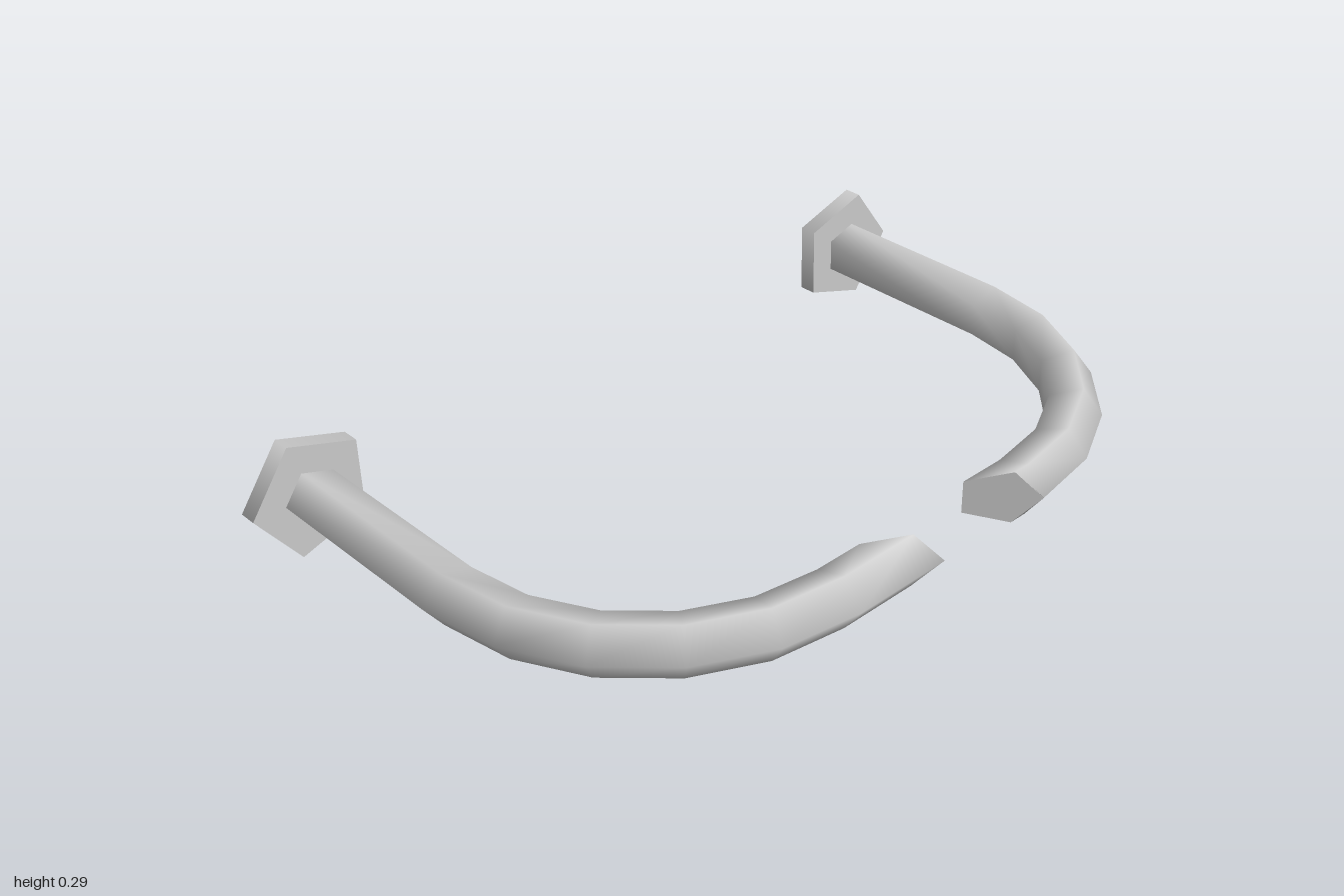
import * as THREE from 'three';

const SIDES = 5, BAR_R = 0.07, FLANGE_R = 0.152;
const BEND_R = 0.555, BEND_X = 0.29, BEND_Z = -0.04, BEND_STEPS = 5;
const Y = 0.1446, BACK_Z = -0.585, FLANGE_T = 0.045;

const material = new THREE.MeshStandardMaterial({ color: 0xcccccc, side: THREE.DoubleSide });

function mesh(name, geometry) {
  const m = new THREE.Mesh(geometry, material);
  m.name = name;
  return m;
}

// Cross-sections of the bar: straight shank, quarter bend, slanted cut.
// cutX and slant place the cut; d is the distance outward from the centre line.
function barRings(side, cutX, slant) {
  const sections = [d => [BEND_X + BEND_R + d, BACK_Z]];
  for (let k = 0; k <= BEND_STEPS; k++) {
    const t = (k / BEND_STEPS) * Math.PI / 2;
    sections.push(d => [
      BEND_X + (BEND_R + d) * Math.cos(t),
      BEND_Z + (BEND_R + d) * Math.sin(t)
    ]);
  }
  sections.push(d => [cutX + slant * d, BEND_Z + BEND_R + d]);

  return sections.map(place => Array.from({ length: SIDES }, (_, i) => {
    const a = (i / SIDES) * Math.PI * 2;
    const [x, z] = place(BAR_R * Math.cos(a));
    return [side * x, Y + BAR_R * Math.sin(a), z];
  }));
}

function indexed(points, triangles, side) {
  const g = new THREE.BufferGeometry();
  g.setAttribute('position', new THREE.Float32BufferAttribute(points.flat(), 3));
  g.setIndex(triangles.flatMap(([a, b, c]) => (side > 0 ? [a, b, c] : [a, c, b])));
  g.computeVertexNormals();
  return g;
}

function makeBar(name, side, cutX, slant) {
  const group = new THREE.Group();
  group.name = name;
  const rings = barRings(side, cutX, slant);

  // Smooth five-sided tube, open at the wall end
  const tris = [];
  for (let k = 0; k < rings.length - 1; k++) {
    for (let i = 0; i < SIDES; i++) {
      const j = (i + 1) % SIDES;
      const a = k * SIDES + i, b = k * SIDES + j;
      tris.push([a, b, b + SIDES], [a, b + SIDES, a + SIDES]);
    }
  }
  group.add(mesh('bentTube', indexed(rings.flat(), tris, side)));

  // Flat cap on the slanted cut
  const capTris = [];
  for (let i = 1; i < SIDES - 1; i++) capTris.push([0, i, i + 1]);
  group.add(mesh('cutEnd', indexed(rings[rings.length - 1], capTris, side)));

  // Pentagonal flange, a corner pointing outward, with a hole for the tube
  const flange = new THREE.Group();
  flange.name = 'mountingFlange';
  flange.position.set(side * (BEND_X + BEND_R), Y, BACK_Z + FLANGE_T / 2);
  const rim = new THREE.CylinderGeometry(
    FLANGE_R, FLANGE_R, FLANGE_T, SIDES, 1, true, side * Math.PI / 2);
  flange.add(mesh('flangeRim', rim.rotateX(Math.PI / 2)));
  const outward = side > 0 ? 0 : Math.PI;
  const front = new THREE.RingGeometry(BAR_R, FLANGE_R, SIDES, 1, outward);
  flange.add(mesh('flangeFront', front.translate(0, 0, FLANGE_T / 2)));
  const back = new THREE.RingGeometry(BAR_R, FLANGE_R, SIDES, 1, Math.PI - outward);
  flange.add(mesh('flangeBack', back.rotateY(Math.PI).translate(0, 0, -FLANGE_T / 2)));
  group.add(flange);
  return group;
}

export function createModel() {
  const model = new THREE.Group();
  model.name = 'splitCurvedRail';
  // Both cuts slant the same way, leaving a diagonal gap
  model.add(makeBar('leftBar', 1, 0.222, 1));
  model.add(makeBar('rightBar', -1, 0.108, -1));
  return model;
}
